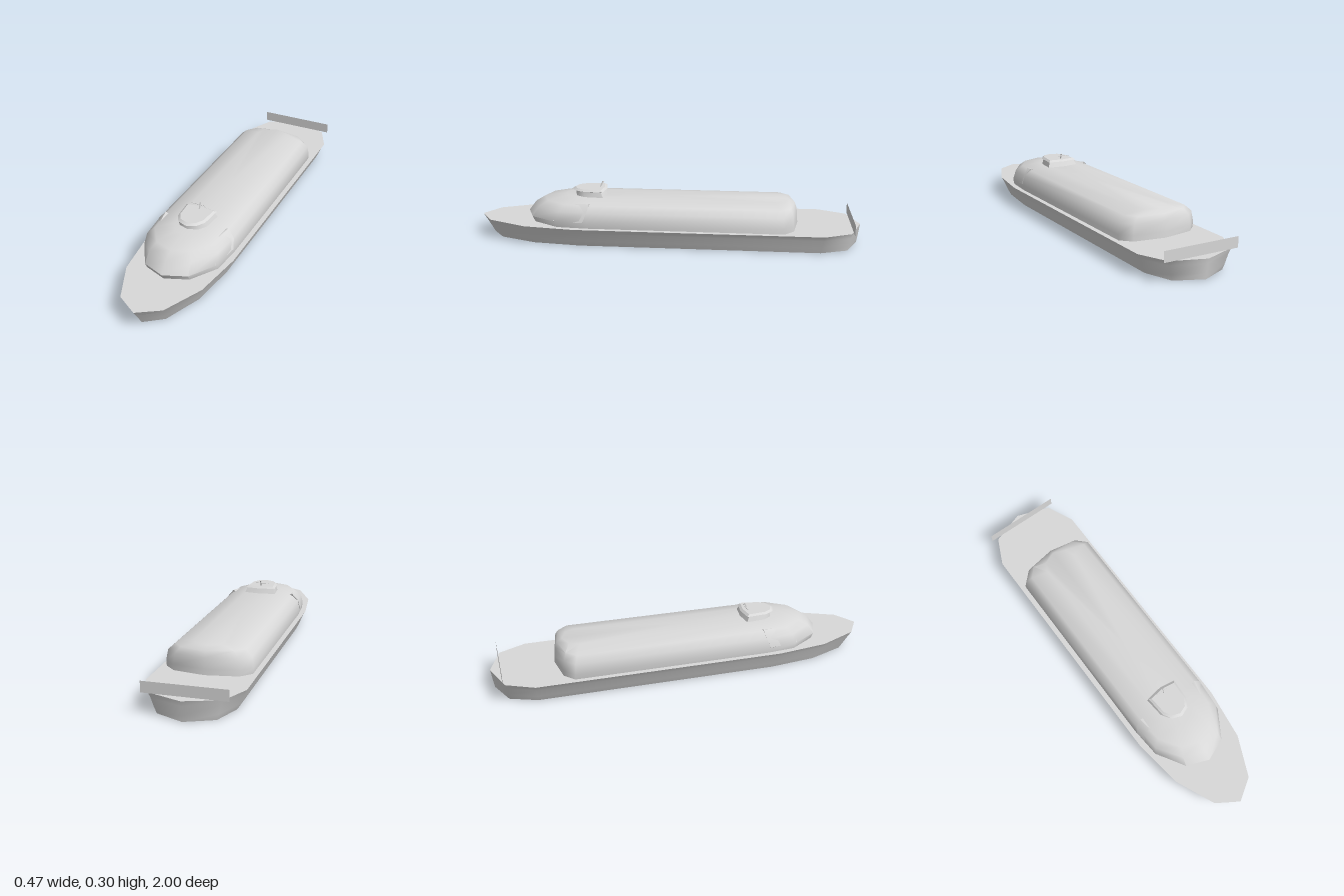
import * as THREE from 'three';
import { toCreasedNormals } from 'three/addons/utils/BufferGeometryUtils.js';

// Mirror a half outline (stern tip to bow tip) into a closed ring at height y.
function ring(half, y) {
  const back = half.slice(1, -1).reverse().map(([x, z]) => [-x, z]);
  return [...half, ...back].map(([x, z]) => new THREE.Vector3(x, y, z));
}

// Skin a stack of rings, closed at the last ring and open at the first.
function loft(rings, crease) {
  const pos = [];
  const tri = (...p) => p.forEach(v => pos.push(v.x, v.y, v.z));
  const top = rings[rings.length - 1], n = top.length;
  const centre = top.reduce((s, v) => s.add(v), new THREE.Vector3()).divideScalar(n);
  for (let i = 0; i < n; i++) {
    const j = (i + 1) % n;
    for (let k = 0; k < rings.length - 1; k++) {
      const a = rings[k], b = rings[k + 1];
      tri(a[j], a[i], b[i]);
      tri(a[j], b[i], b[j]);
    }
    tri(centre, top[j], top[i]);
  }
  const g = new THREE.BufferGeometry();
  g.setAttribute('position', new THREE.Float32BufferAttribute(pos, 3));
  return toCreasedNormals(g, crease);
}

export function createModel() {
  const model = new THREE.Group();
  const grey = new THREE.MeshStandardMaterial({ color: 0xd8d8d8, side: THREE.DoubleSide });
  grey.name = 'light grey';
  const add = (name, geometry, x = 0, y = 0, z = 0) => {
    const mesh = new THREE.Mesh(geometry, grey);
    mesh.name = name;
    mesh.position.set(x, y, z);
    model.add(mesh);
    return mesh;
  };

  // Hull: a shell open underneath, one deck outline drawn in towards the waterline
  const deck = [[0, -1], [0.17, -0.94], [0.235, -0.8], [0.235, 0.47], [0.2, 0.73], [0.11, 0.93], [0, 1]];
  const hullLevels = [[0, 0.188, 0.94, 0.985], [0.03, 0.203, 0.957, 0.99], [0.075, 0.22, 0.985, 0.996], [0.1, 0.235, 1, 1]];
  add('hull', loft(hullLevels.map(([y, w, front, rear]) =>
    ring(deck.map(([x, z]) => [x * w / 0.235, z * (z > 0 ? front : rear)]), y)), 1));

  // Cabin: long rounded body with a faceted nose; levels are y, half width, nose z, rear z
  const cabinLevels = [
    [0.1, 0.209, 0.73, -0.677], [0.128, 0.212, 0.745, -0.675], [0.18, 0.203, 0.705, -0.67],
    [0.21, 0.17, 0.655, -0.658], [0.228, 0.085, 0.54, -0.63],
  ];
  add('cabin', loft(cabinLevels.map(([y, w, front, rear]) => {
    const nose = t => 0.4 + (front - 0.4) * t;
    return ring([
      [0, rear], [w * 0.75, rear + 0.025], [w, rear + 0.075],
      [w, nose(0)], [w * 0.94, nose(0.47)], [w * 0.54, nose(0.87)], [0, front],
    ], y);
  }), 0.95));

  // Wheelhouse and overhanging roof: half width, rear z and front z at each height
  const house = (w, rear, front, y) => {
    const at = t => rear + (front - rear) * t;
    return ring([[0, rear], [w, at(0.07)], [w * 0.9, at(0.66)], [w * 0.58, at(0.9)], [0, front]], y);
  };
  add('wheelhouse', loft([house(0.087, 0.318, 0.49, 0.224), house(0.075, 0.335, 0.485, 0.255)], 0.9));
  add('wheelhouseRoof', loft([
    house(0.075, 0.335, 0.485, 0.253), house(0.082, 0.322, 0.505, 0.256), house(0.07, 0.335, 0.49, 0.265),
  ], 0.5));

  // Raked mast and its crossbar
  add('mast', new THREE.BoxGeometry(0.005, 0.034, 0.005), 0, 0.28, 0.352).rotation.x = -0.4;
  add('crossbar', new THREE.BoxGeometry(0.073, 0.002, 0.004), -0.011, 0.282, 0.347);

  // Flared side wings: open to the cabin in front, closed at the rear edge
  const wingFront = [[0.14, 0.208, 0.51], [0.15, 0.205, 0.52], [0.172, 0.18, 0.56], [0.193, 0.13, 0.575], [0.19, 0.126, 0.57]];
  const wingRear = [[0.155, 0.212, 0.39], [0.172, 0.219, 0.39], [0.205, 0.18, 0.4], [0.213, 0.13, 0.42], [0.195, 0.126, 0.42]];
  for (const side of [-1, 1]) {
    const rings = [wingFront, wingRear].map(pts => pts.map(([x, y, z]) => new THREE.Vector3(side * x, y, z)));
    if (side > 0) rings.forEach(r => r.reverse());
    add(side < 0 ? 'rightWing' : 'leftWing', loft(rings, 0.8));
  }

  // Stern board
  add('sternBoard', new THREE.PlaneGeometry(0.4, 0.054), 0, 0.127, -0.951);

  return model;
}
